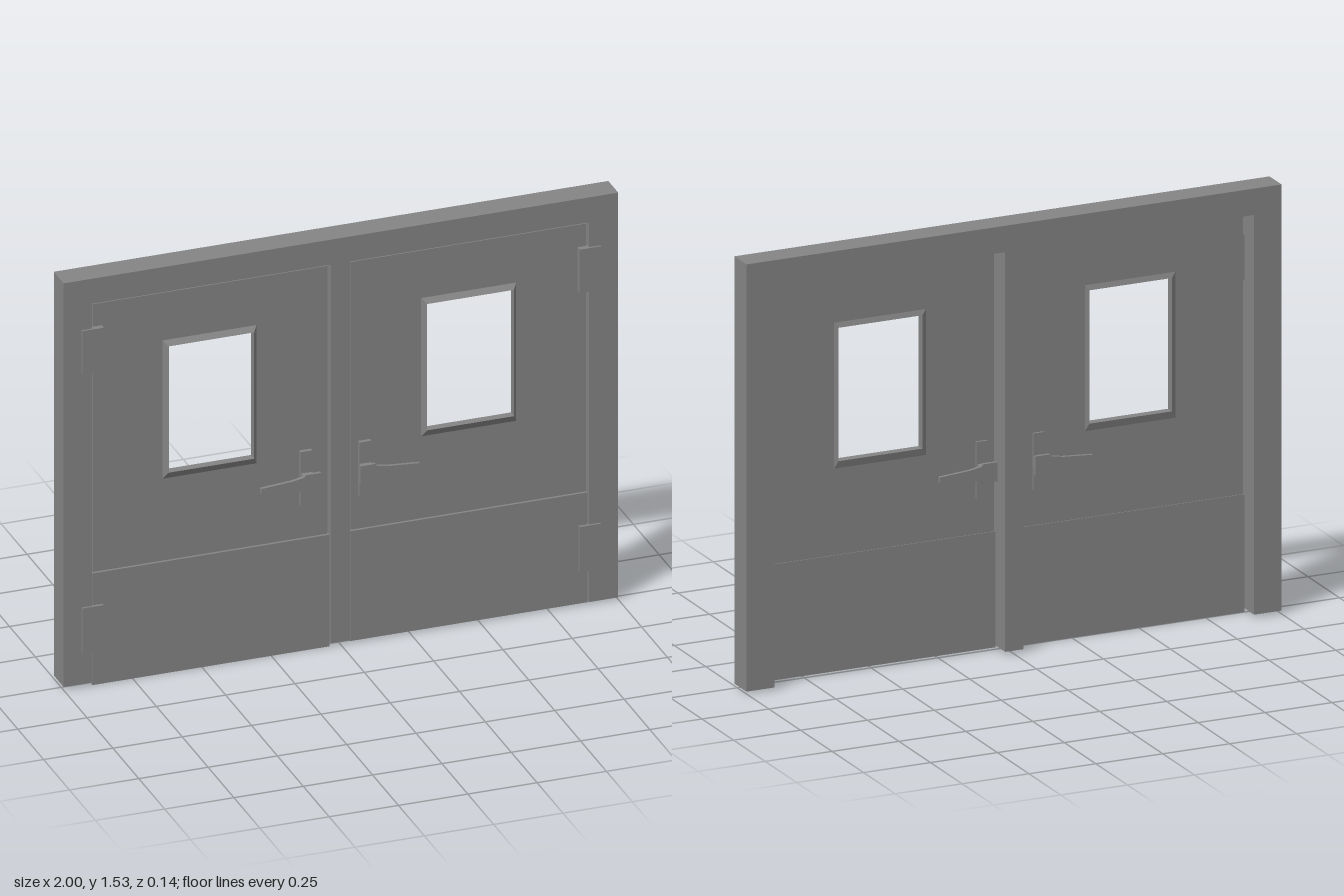
import * as THREE from 'three';

const material = new THREE.MeshStandardMaterial({ color: 0x858585 });
const flat = new THREE.MeshStandardMaterial({ color: 0x858585, flatShading: true });
const FRONT = 0.011, BACK = 0.003; // door leaf faces
const KICK_FRONT = 0.021, KICK_BACK = 0; // kick plate faces

function add(parent, name, geometry, mat = material) {
  const mesh = new THREE.Mesh(geometry, mat);
  mesh.name = name;
  parent.add(mesh);
  return mesh;
}

// box given by its limits
function box(parent, name, x0, x1, y0, y1, z0, z1) {
  const mesh = add(parent, name, new THREE.BoxGeometry(x1 - x0, y1 - y0, z1 - z0));
  mesh.position.set((x0 + x1) / 2, (y0 + y1) / 2, (z0 + z1) / 2);
}

const corners = ([x0, x1, y0, y1]) => [[x0, y0], [x1, y0], [x1, y1], [x0, y1]];
const toPath = (points, Type) => new Type(points.map(([x, y]) => new THREE.Vector2(x, y)));

function extrude(points, holes, z0, z1) {
  const shape = toPath(points, THREE.Shape);
  shape.holes = holes.map((h) => toPath(h, THREE.Path));
  return new THREE.ExtrudeGeometry(shape, { depth: z1 - z0, bevelEnabled: false }).translate(0, 0, z0);
}

// rectangular ring swept through a list of [rectangle, z] sections
function bevelRing(sections) {
  const pos = [], index = [];
  for (const [rect, z] of sections) for (const [x, y] of corners(rect)) pos.push(x, y, z);
  for (let s = 0; s < sections.length - 1; s++) {
    for (let i = 0; i < 4; i++) {
      const a = s * 4 + i, b = s * 4 + (i + 1) % 4;
      index.push(a, b, b + 4, a, b + 4, a + 4);
    }
  }
  const g = new THREE.BufferGeometry();
  g.setAttribute('position', new THREE.Float32BufferAttribute(pos, 3));
  g.setIndex(index);
  g.computeVertexNormals();
  return g;
}

// lever handle pointing to +x, standing out along +z
function makeHandle(name) {
  const handle = new THREE.Group();
  handle.name = name;
  box(handle, 'handlePlate', -0.021, 0.021, -0.102, 0.1, -0.009, 0.006);
  box(handle, 'handleStem', -0.02, 0.02, -0.02, 0.02, 0.006, 0.042);
  const half = [[-0.035, 0.034], [0.02, 0.034], [0.025, 0.026], [0.07, 0.018], [0.18, 0.01]];
  const outline = [...half.map(([x, y]) => [x, -y]), ...half.slice().reverse()];
  add(handle, 'lever', extrude(outline, [], 0.04, 0.052));
  return handle;
}

function makeDoor(name, side, [x0, x1], opening, handleX, bottom) {
  const door = new THREE.Group();
  door.name = name;
  const outer = side < 0 ? [-0.638, -0.3, 0.728, 1.248] : [0.294, 0.637, 0.728, 1.248];
  const inner = [outer[0] + 0.016, outer[1] - 0.014, 0.755, 1.23];

  // thin leaf with window opening
  add(door, 'doorPanel', extrude(corners([x0, x1, bottom + 0.004, 1.427]), [corners(outer)], BACK, FRONT));

  // window trim, bevelled outwards on both faces
  add(door, 'windowTrim', bevelRing([[outer, FRONT], [inner, 0.027], [inner, -0.004], [outer, BACK]]), flat);

  // kick plate wrapping both faces
  box(door, 'kickPlate', opening[0] + 0.002, opening[1] - 0.004, bottom, 0.42, KICK_BACK, KICK_FRONT);

  // levers, inside and outside
  const front = makeHandle('frontHandle');
  front.position.set(handleX, 0.65, 0.02);
  front.scale.x = side;
  const back = makeHandle('backHandle');
  back.position.set(handleX, 0.65, 0.001);
  back.scale.set(side, 1, -1);
  door.add(front, back);

  // hinges across the joint with the frame
  for (const [y0, y1] of [[0.13, 0.3], [1.18, 1.343]]) {
    const a = side * 0.858, b = side * 0.936;
    box(door, 'hinge', Math.min(a, b), Math.max(a, b), y0, y1, 0.006, 0.032);
  }
  return door;
}

export function createModel() {
  const model = new THREE.Group();
  model.name = 'doubleDoor';

  // frame with two openings and a centre post
  const openings = [[-0.897, -0.036], [0.033, 0.895]];
  const y0 = 0.012, y1 = 1.436, yEnd = 0.008;
  const outline = [
    [-1, y0], [openings[0][0], y0], [openings[0][0], y1], [openings[0][1], y1], [openings[0][1], y0],
    [openings[1][0], y0], [openings[1][0], y1], [openings[1][1], y1], [openings[1][1], yEnd],
    [1, yEnd], [1, 1.53], [-1, 1.53],
  ];
  add(model, 'doorFrame', extrude(outline, [], -0.072, 0.024));

  model.add(
    makeDoor('rightDoor', -1, [-0.89, -0.043], openings[0], -0.125, 0),
    makeDoor('leftDoor', 1, [0.04, 0.889], openings[1], 0.087, 0.007),
  );
  return model;
}
